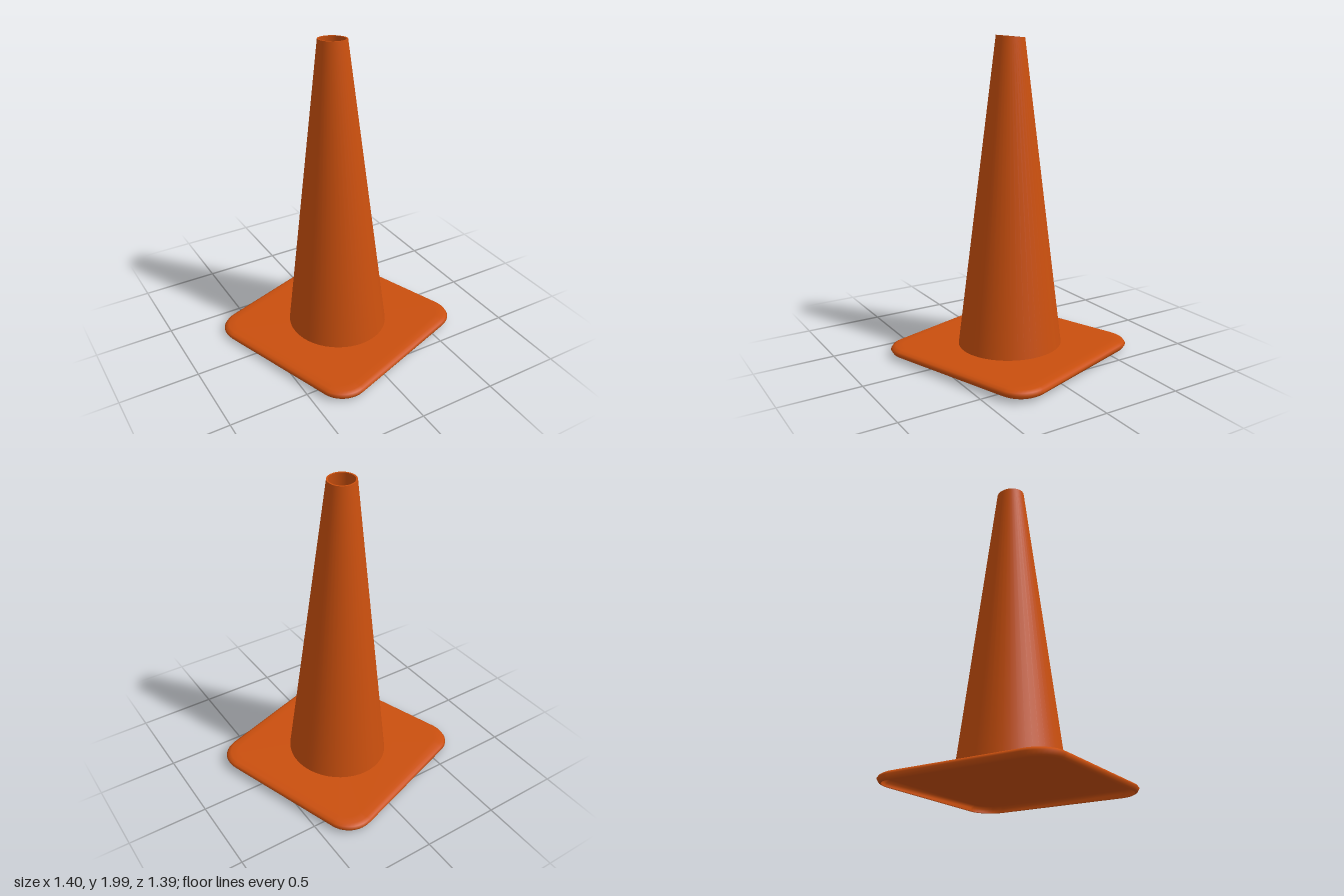
import * as THREE from 'three';

const orange = new THREE.MeshStandardMaterial({ color: 0xca4f0e });
orange.name = 'orange rubber';

// Points of a rounded rectangle, inset from its full outline
function outline(inset, steps = 10) {
  const w = 0.59, d = 0.58, r = 0.172, pts = [];
  for (let c = 0; c < 4; c++) {
    const sx = c === 0 || c === 3 ? 1 : -1, sz = c < 2 ? 1 : -1;
    for (let i = 0; i <= steps; i++) {
      const a = (c + i / steps) * Math.PI / 2;
      pts.push([sx * (w - r) + (r - inset) * Math.cos(a), sz * (d - r) + (r - inset) * Math.sin(a)]);
    }
  }
  return pts;
}

// Thin sheet with a curled lip, hollow underneath: [inset, y] from the underside round to the top
function basePlate() {
  const rings = [
    [0.09, 0.057], [0.04, 0.055], [0.02, 0.04], [0.028, 0.018],
    [0.024, 0.013], [0.012, 0.02], [0, 0.04], [0.01, 0.054], [0.03, 0.064], [0.08, 0.066]
  ];
  const pos = [], index = [];
  let n = 0;
  for (const [inset, y] of rings) {
    const pts = outline(inset);
    n = pts.length;
    for (const [x, z] of pts) pos.push(x, y, z);
  }
  const low = rings.length * n, high = low + 1, last = (rings.length - 1) * n;
  pos.push(0, 0.057, 0, 0, 0.066, 0);
  for (let i = 0; i < n; i++) {
    const j = (i + 1) % n;
    for (let k = 0; k < last; k += n) {
      index.push(k + i, k + n + i, k + j, k + j, k + n + i, k + n + j);
    }
    index.push(low, i, j, high, last + j, last + i);
  }
  const g = new THREE.BufferGeometry();
  g.setAttribute('position', new THREE.Float32BufferAttribute(pos, 3));
  g.setIndex(index);
  g.computeVertexNormals();
  return g;
}

// Turned surface, slightly oval at the foot and with a slanted rim
function coneSurface(name, from, to) {
  const g = new THREE.LatheGeometry([new THREE.Vector2(...from), new THREE.Vector2(...to)], 48);
  const p = g.attributes.position;
  for (let i = 0; i < p.count; i++) {
    const x = p.getX(i), y = p.getY(i), z = p.getZ(i), t = y / 1.99;
    p.setXYZ(i, x * (1 - 0.03 * (1 - t)), t > 0.9 ? y + 0.06 * (z - x) : y, z * (1 + 0.015 * (1 - t)));
  }
  const mesh = new THREE.Mesh(g, orange);
  mesh.name = name;
  return mesh;
}

export function createModel() {
  const model = new THREE.Group();
  model.name = 'trafficCone';

  const plate = new THREE.Mesh(basePlate(), orange);
  plate.name = 'basePlate';
  plate.rotation.y = 0.328;

  // Hollow cone: outer wall, rim and inner wall
  const cone = new THREE.Group();
  cone.name = 'hollowCone';
  cone.add(
    coneSurface('outerWall', [0.328, 0.06], [0.088, 1.99]),
    coneSurface('rim', [0.088, 1.99], [0.078, 1.99]),
    coneSurface('innerWall', [0.078, 1.99], [0.316, 0.06])
  );
  cone.position.set(0.005, 0, -0.002);

  // The whole cone leans very slightly
  const body = new THREE.Group();
  body.name = 'leaningBody';
  body.add(plate, cone);
  body.rotation.set(-0.009, 0, 0.011);
  model.add(body);
  return model;
}
